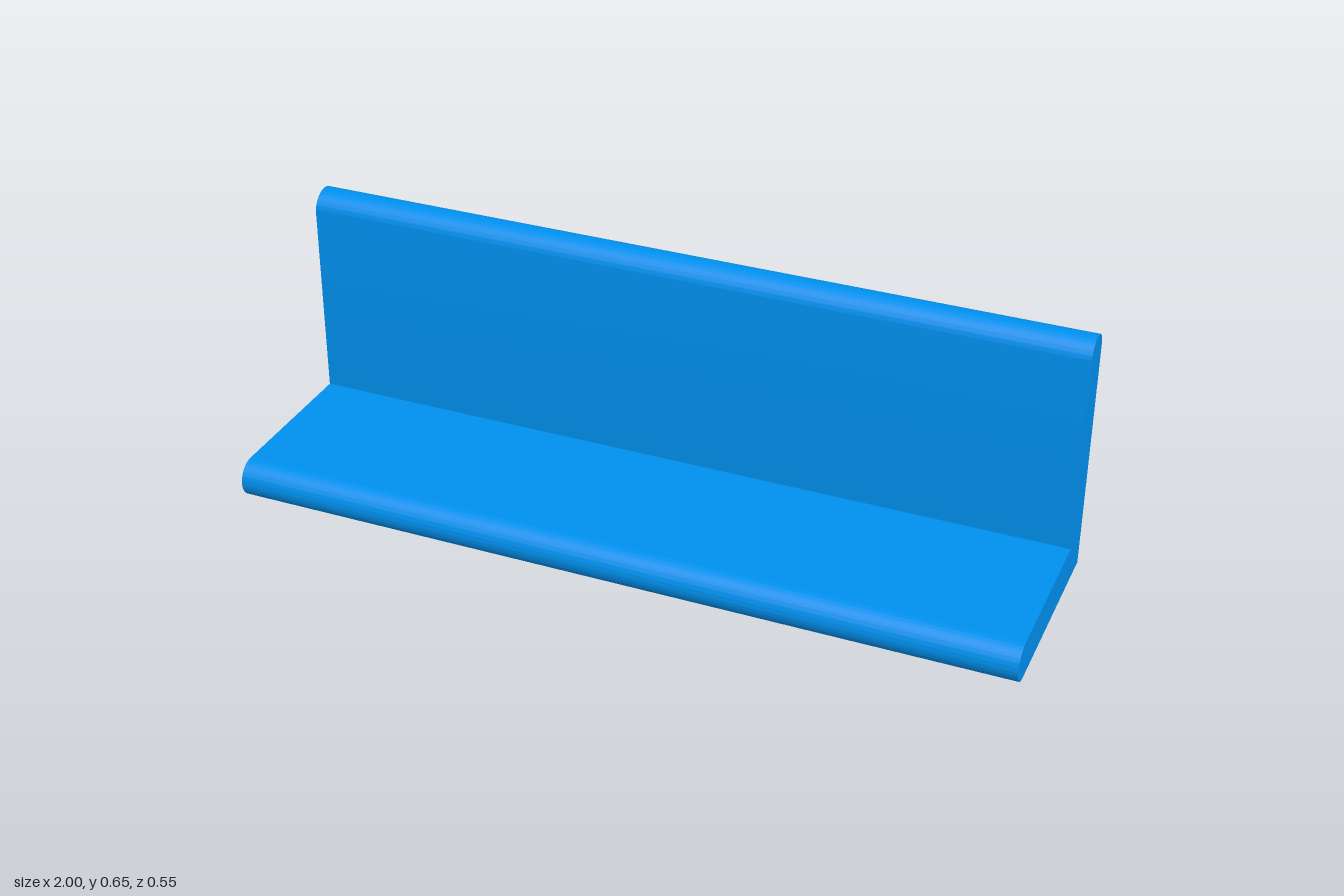
import * as THREE from 'three';
import { toCreasedNormals } from 'three/addons/utils/BufferGeometryUtils.js';

const LENGTH = 2;
const R = 0.05; // half the wall thickness, also the edge rounding
const FRONT = 0.275, BACK = -0.275, HEIGHT = 0.65;

export function createModel() {
  const group = new THREE.Group();
  group.name = 'angleProfile';

  // L-shaped cross-section: shape x is depth, shape y is height
  const section = new THREE.Shape();
  // rounded top edge of the upright
  section.absarc(BACK + R, HEIGHT - R, R, 0, Math.PI, false);
  // outer corner
  section.lineTo(BACK, 0);
  // rounded front edge of the base
  section.absarc(FRONT - R, R, R, -Math.PI / 2, Math.PI / 2, false);
  // inner corner
  section.lineTo(BACK + 2 * R, 2 * R);
  section.closePath();

  // sweep along the length, then turn it to run along x
  let geometry = new THREE.ExtrudeGeometry(section, {
    depth: LENGTH, bevelEnabled: false, curveSegments: 32,
  });
  geometry.translate(0, 0, -LENGTH / 2);
  geometry.rotateY(-Math.PI / 2);
  // mirror-free turn maps depth to z; creases keep the flat ends sharp
  geometry = toCreasedNormals(geometry, 0.5);

  const bar = new THREE.Mesh(geometry, new THREE.MeshStandardMaterial({ color: 0x0090ee }));
  bar.name = 'angleBar';
  group.add(bar);
  return group;
}
